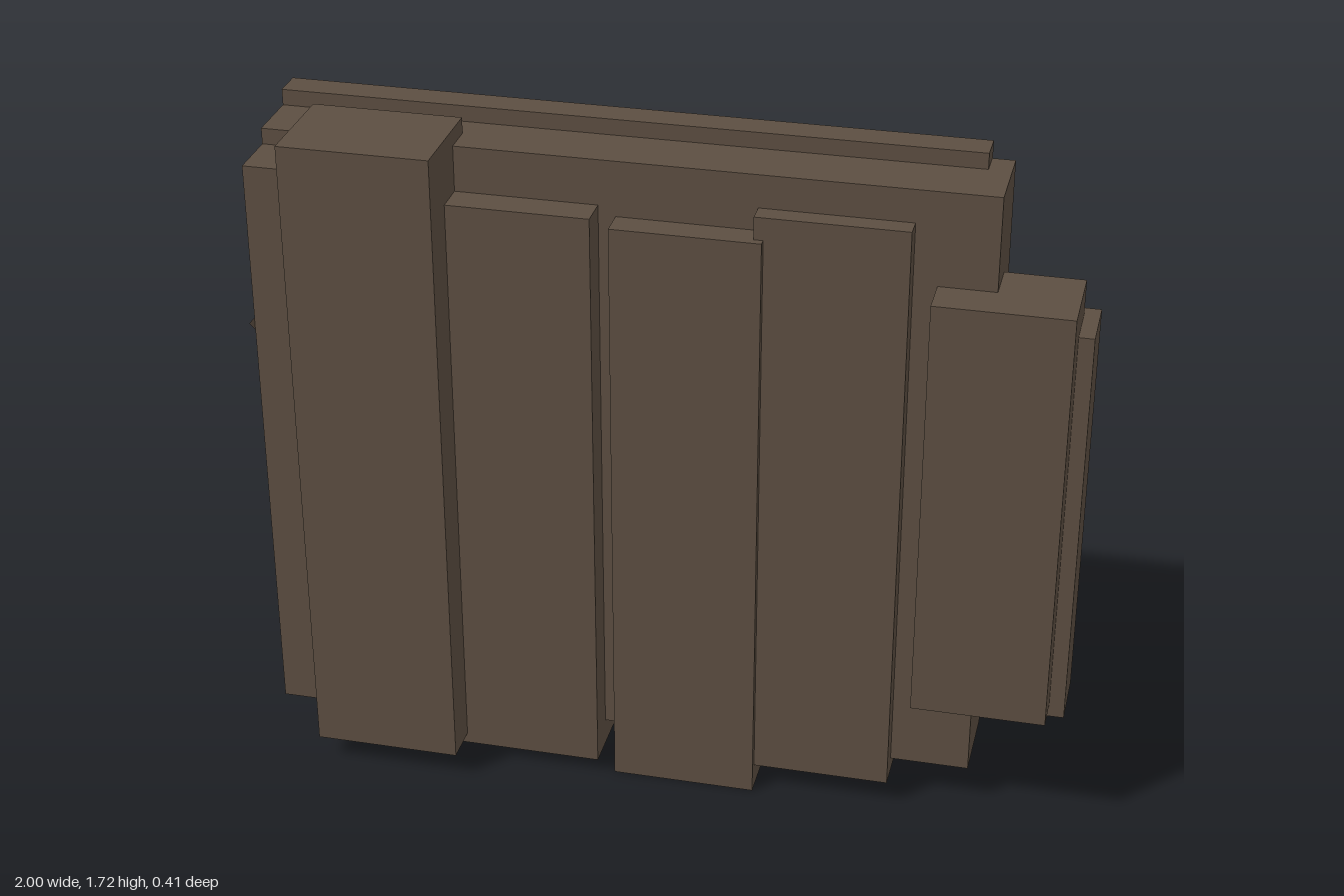
import * as THREE from 'three';

export function createModel() {
  const model = new THREE.Group();
  const bark = new THREE.MeshStandardMaterial({ color: 0x5c4e41, side: THREE.DoubleSide });
  bark.name = 'dark brown';

  // Box from its limits on each axis; openEnd leaves off the -x face
  function slab(name, [x0, x1], [y0, y1], [z0, z1], openEnd = false) {
    const geometry = new THREE.BoxGeometry(x1 - x0, y1 - y0, z1 - z0);
    if (openEnd) {
      const index = Array.from(geometry.index.array);
      index.splice(6, 6); // second face of a box is -x
      geometry.setIndex(index);
      geometry.clearGroups();
    }
    const mesh = new THREE.Mesh(geometry, bark);
    mesh.name = name;
    mesh.position.set((x0 + x1) / 2, (y0 + y1) / 2, (z0 + z1) / 2);
    model.add(mesh);
  }

  // Layered wall, hollow and open at its cut end
  slab('backBoard', [-1, 0.715], [0.065, 1.72], [-0.208, -0.13], true);
  slab('core', [-1, 0.77], [0.107, 1.68], [-0.197, 0.02], true);
  slab('edgeColumn', [-1, -0.8], [0.15, 1.64], [-0.09, 0.155], true);

  // Upright planks across the front
  slab('tallColumn', [-0.895, -0.525], [0.065, 1.72], [-0.06, 0.205]);
  slab('leftPlank', [-0.538, -0.175], [0.037, 1.565], [-0.13, 0.102]);
  slab('middlePlank', [-0.133, 0.23], [0, 1.54], [-0.165, 0.092]);
  slab('rightPlank', [0.207, 0.573], [0.066, 1.597], [-0.13, 0.072]);

  // Shorter posts at the far end
  slab('sideColumn', [0.63, 0.962], [0.34, 1.443], [-0.093, 0.125]);
  slab('sidePost', [0.84, 1], [0.307, 1.356], [-0.125, 0.033]);

  // Small splinter on the cut end
  const chip = new THREE.BufferGeometry().setFromPoints([
    new THREE.Vector3(-1, 1.245, 0.19),
    new THREE.Vector3(-1, 1.24, 0.105),
    new THREE.Vector3(-1, 1.18, 0.125),
  ]);
  chip.computeVertexNormals();
  const splinter = new THREE.Mesh(chip, bark);
  splinter.name = 'splinter';
  model.add(splinter);

  return model;
}
